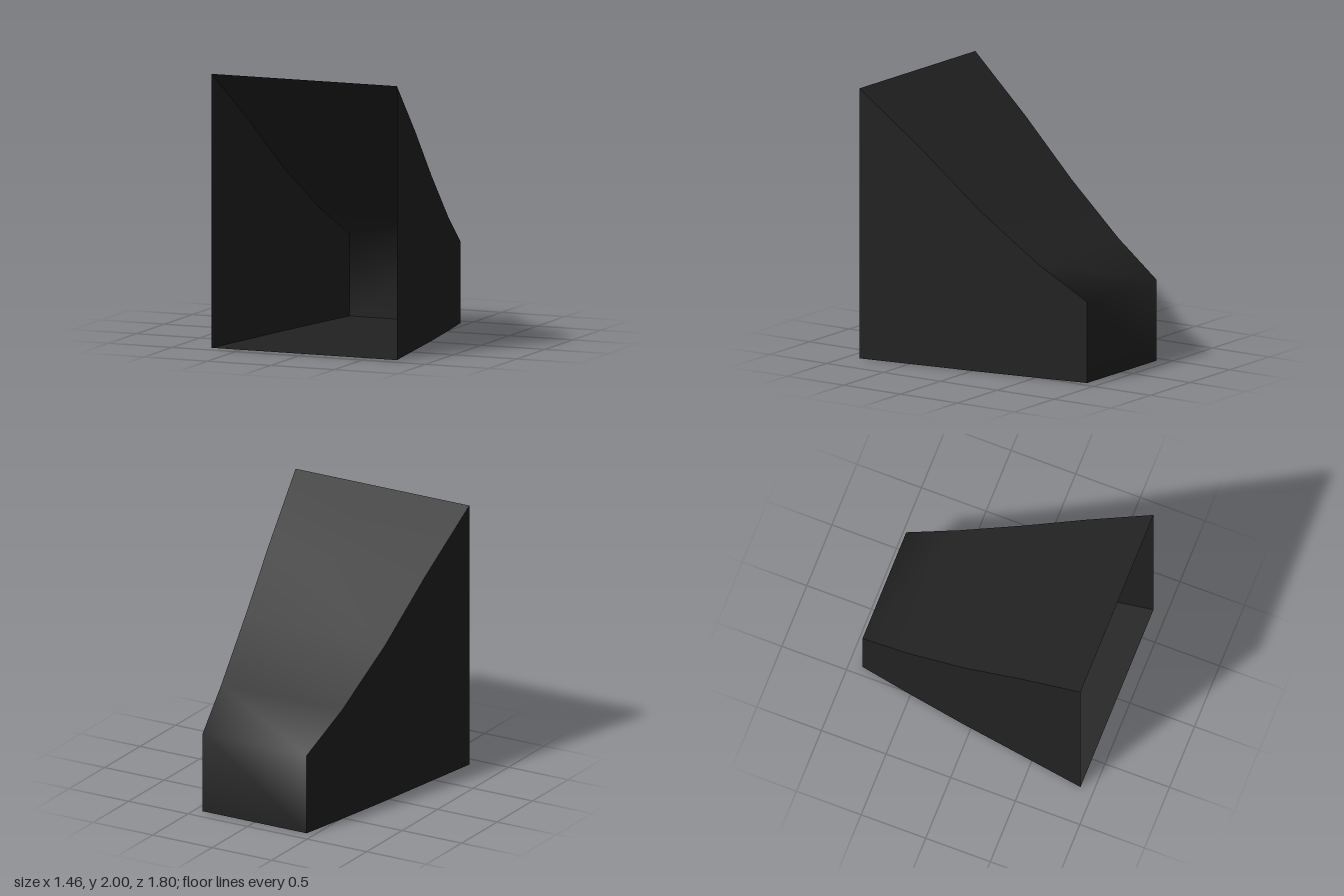
import * as THREE from 'three';

// Stations from the open front to the back: z, roof height, half width
const STATIONS = [
  [0.9, 2.0, 0.73],
  [0.405, 1.6, 0.655],
  [-0.05, 1.2, 0.587],
  [-0.52, 0.84, 0.507],
  [-0.9, 0.6, 0.437],
];

// Smooth strip of quads between two edges, given as rows of [pointA, pointB]
function strip(name, rows, material) {
  const index = [];
  for (let i = 0; i < rows.length - 1; i++) {
    const a = i * 2;
    index.push(a, a + 1, a + 2, a + 1, a + 3, a + 2);
  }
  const geometry = new THREE.BufferGeometry();
  geometry.setAttribute('position', new THREE.Float32BufferAttribute(rows.flat(2), 3));
  geometry.setIndex(index);
  geometry.computeVertexNormals();
  const mesh = new THREE.Mesh(geometry, material);
  mesh.name = name;
  return mesh;
}

export function createModel() {
  const group = new THREE.Group();
  group.name = 'openHood';
  const black = new THREE.MeshStandardMaterial({ color: 0x222222, side: THREE.DoubleSide });
  black.name = 'charcoalBlack';

  // Sloping roof that runs on into the upright back wall
  const [backZ, , backHalf] = STATIONS[STATIONS.length - 1];
  const roofRows = STATIONS.map(([z, y, w]) => [[-w, y, z], [w, y, z]]);
  roofRows.push([[-backHalf, 0, backZ], [backHalf, 0, backZ]]);
  group.add(strip('roofAndBack', roofRows, black));

  // Tapering floor
  group.add(strip('floor', STATIONS.map(([z, , w]) => [[w, 0, z], [-w, 0, z]]), black));

  // Side walls
  group.add(strip('leftWall', STATIONS.map(([z, y, w]) => [[w, y, z], [w, 0, z]]), black));
  group.add(strip('rightWall', STATIONS.map(([z, y, w]) => [[-w, 0, z], [-w, y, z]]), black));

  return group;
}
